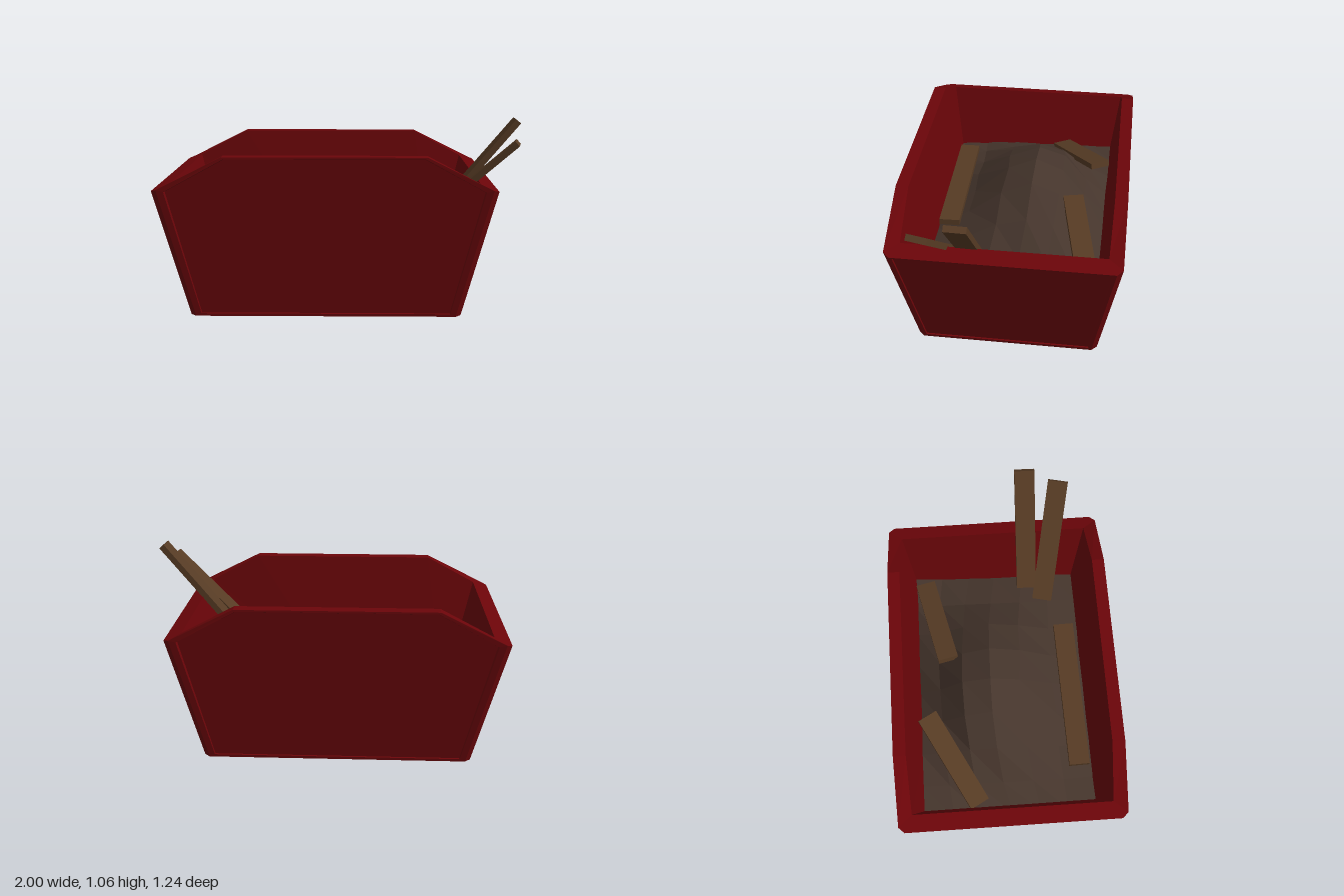
import * as THREE from 'three';

const paint = new THREE.MeshStandardMaterial({ color: 0x6b0509, flatShading: true });
const wood = new THREE.MeshStandardMaterial({ color: 0x563b24, flatShading: true });
const dirt = new THREE.MeshStandardMaterial({ color: 0x45352c, flatShading: true, side: THREE.DoubleSide });

const V = (x, y, z) => new THREE.Vector3(x, y, z);

// One quarter of the container (+x, +z) as polygons, wound outwards
function quarterFaces() {
  const faces = [];
  // Frame strip around a panel and the step down to its recessed ring
  const frame = (outer, inset, deep) => {
    for (let k = 0; k < outer.length - 1; k++) {
      faces.push([outer[k], outer[k + 1], inset[k + 1], inset[k]]);
      faces.push([inset[k], inset[k + 1], deep[k + 1], deep[k]]);
    }
  };

  // Long side: upright upper edge, one flat sloping panel
  const a = [V(0, 0, 0.51), V(0.715, 0, 0.51), V(0.89, 0.725, 0.622), V(0.54, 0.9, 0.622), V(0, 0.9, 0.622)];
  const b = [V(0, 0.015, 0.512), V(0.685, 0.015, 0.512), V(0.85, 0.715, 0.62), V(0.53, 0.89, 0.622), V(0, 0.89, 0.622)];
  const c = [V(0, 0.018, 0), V(0.682, 0.018, 0), V(0.847, 0.712, 0), V(0.529, 0.887, 0), V(0, 0.887, 0)];
  for (const p of c) p.z = 0.503 + 0.124 * p.y;
  frame(a, b, c);
  faces.push(c);

  // Short end
  const d = [V(0.92, 0.715, 0), V(0.92, 0.715, 0.59), V(0.745, 0, 0.48), V(0.745, 0, 0)];
  const e = [V(0.918, 0.708, 0), V(0.918, 0.708, 0.572), V(0.749, 0.018, 0.464), V(0.749, 0.018, 0)];
  const f = [V(0.907, 0.706, 0), V(0.907, 0.706, 0.57), V(0.74, 0.02, 0.462), V(0.74, 0.02, 0)];
  frame(d, e, f);
  faces.push(f);

  // Chamfered corner
  faces.push([a[1], d[2], d[1], a[2]]);

  // Underside
  const u = [V(0.7, 0, 0), V(0.7, 0, 0.45), V(0.68, 0, 0.47), V(0, 0, 0.47)];
  const v = u.map(p => V(p.x, 0.025, p.z));
  frame([d[3], d[2], a[1], a[0]], u, v);
  faces.push([V(0, 0.025, 0), ...v]);

  // Rim
  const i = [V(0.83, 0.745, 0), V(0.83, 0.745, 0.545), V(0.54, 0.9, 0.553), V(0, 0.9, 0.553)];
  faces.push([d[0], i[0], i[1], d[1]], [d[1], i[1], a[2]], [a[2], i[1], i[2], a[3]], [a[3], i[2], i[3], a[4]]);

  // Inner walls and floor
  const j = [V(0.66, 0.05, 0), V(0.66, 0.05, 0.45), V(0, 0.05, 0.45)];
  faces.push([i[0], j[0], j[1], i[1]], [j[2], i[3], i[2], i[1], j[1]], [j[0], V(0, 0.05, 0), j[2], j[1]]);
  return faces;
}

// Mirror the quarter into the whole container
function containerGeometry() {
  const pos = [];
  for (const sx of [1, -1]) for (const sz of [1, -1]) {
    for (const face of quarterFaces()) {
      const f = sx * sz < 0 ? [...face].reverse() : face;
      for (let k = 1; k < f.length - 1; k++) {
        for (const p of [f[0], f[k], f[k + 1]]) pos.push(p.x * sx, p.y, p.z * sz);
      }
    }
  }
  const geo = new THREE.BufferGeometry();
  geo.setAttribute('position', new THREE.Float32BufferAttribute(pos, 3));
  geo.computeVertexNormals();
  return geo;
}

// Mound, highest a little behind the middle, with edges at the walls
function rubbleGeometry() {
  let seed = 7;
  const rnd = () => (seed = (seed * 16807) % 2147483647) / 2147483647 - 0.5;
  const geo = new THREE.PlaneGeometry(2, 2, 8, 6).rotateX(-Math.PI / 2);
  const p = geo.attributes.position;
  for (let k = 0; k < p.count; k++) {
    const u = p.getX(k), w = p.getZ(k);
    const bump = Math.max(0, Math.cos(u * Math.PI / 2) * Math.cos(w * Math.PI / 2));
    p.setXYZ(k, u * 0.76 - 0.05 * bump + rnd() * 0.015,
      0.365 - 0.02 * w - 0.02 * u + 0.36 * bump ** 1.6 + rnd() * 0.012,
      w * 0.505 - 0.08 * bump + rnd() * 0.015);
  }
  geo.computeVertexNormals();
  return geo;
}

export function createModel() {
  const model = new THREE.Group();
  model.name = 'rubbleContainer';
  const add = (name, geo, mat, x = 0) => {
    const mesh = new THREE.Mesh(geo, mat);
    mesh.name = name;
    mesh.position.x = x;
    model.add(mesh);
    return mesh;
  };
  add('container', containerGeometry(), paint, -0.082);
  add('rubble', rubbleGeometry(), dirt, -0.11);

  // Planks from start to end point
  const plank = (name, from, to) => {
    const dir = to.clone().sub(from);
    const mesh = add(name, new THREE.BoxGeometry(dir.length(), 0.035, 0.117), wood);
    mesh.position.copy(from).add(to).multiplyScalar(0.5);
    const x = dir.normalize();
    const z = x.clone().cross(V(0, 1, 0)).normalize();
    const y = z.clone().cross(x);
    mesh.quaternion.setFromRotationMatrix(new THREE.Matrix4().makeBasis(x, y, z));
  };
  plank('backRightPlank', V(-0.81, 0.42, -0.18), V(-0.32, 0.6, -0.45));
  plank('backLeftPlank', V(0.02, 0.59, -0.31), V(0.57, 0.46, -0.43));
  plank('frontPlank', V(-0.63, 0.46, 0.41), V(0.23, 0.5, 0.39));
  plank('leaningPlankInner', V(0.51, 0.48, 0.19), V(0.985, 1.05, 0.2));
  plank('leaningPlankOuter', V(0.43, 0.46, 0.28), V(0.96, 0.95, 0.4));
  return model;
}
